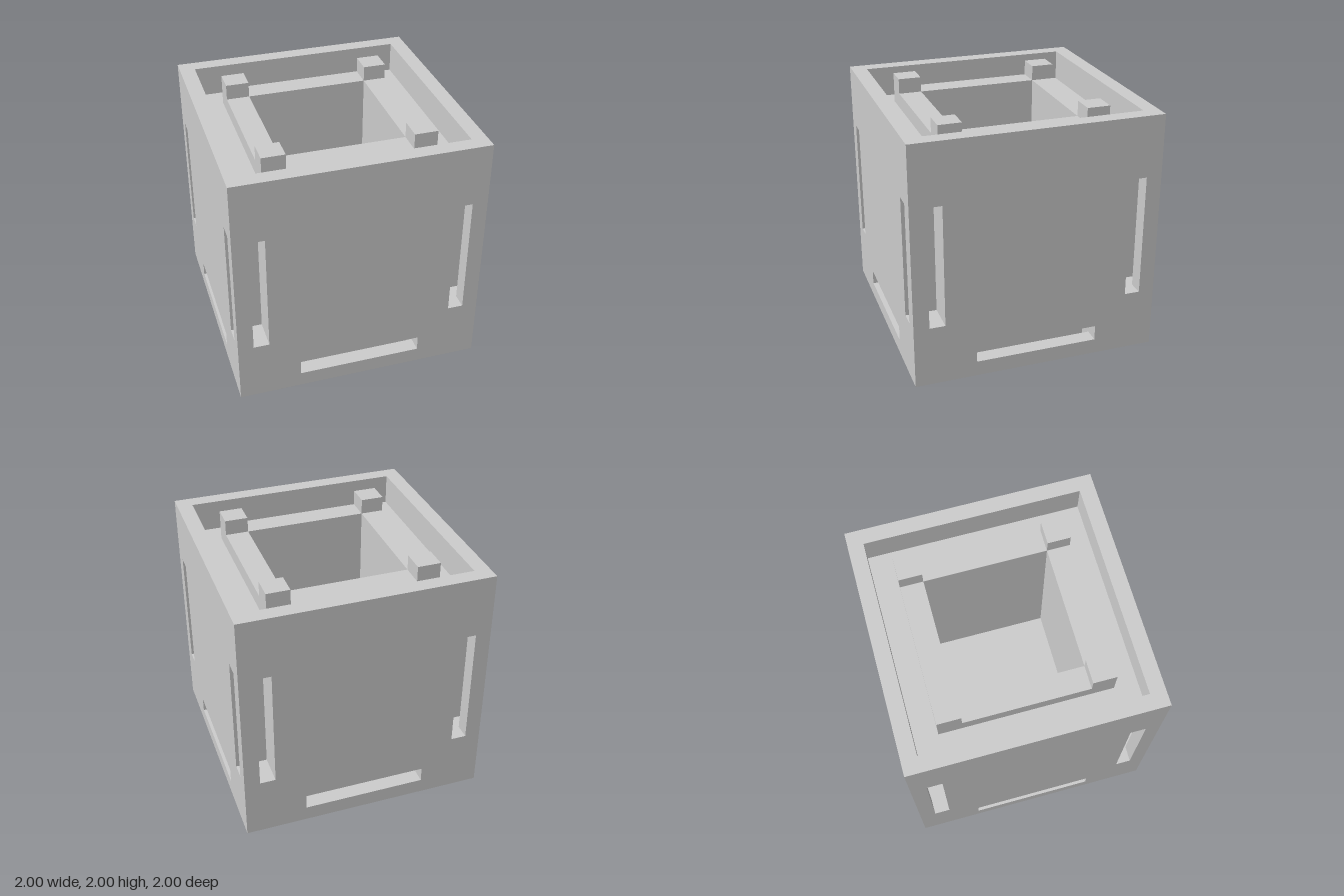
import * as THREE from 'three';

const material = new THREE.MeshStandardMaterial({ color: 0xcccccc, flatShading: true });

// Rectangle outline as points, given its centre and half sizes
function rect(cx, cz, hx, hz) {
  return [[-1, -1], [1, -1], [1, 1], [-1, 1]].map(([a, b]) => new THREE.Vector2(cx + a * hx, cz + b * hz));
}
const square = (h) => rect(0, 0, h, h);

// Repeat one side's corner points round all four sides
function fourSides(points) {
  const out = [];
  for (let i = 0; i < 4; i++) {
    for (const [x, y] of points) {
      out.push(new THREE.Vector2(x, y).rotateAround(new THREE.Vector2(), i * Math.PI / 2));
    }
  }
  return out;
}

// Horizontal slab of a given outline between two heights
function slab(name, y0, y1, outline, holes = []) {
  const shape = new THREE.Shape(outline);
  holes.forEach((h) => shape.holes.push(new THREE.Path(h)));
  const geometry = new THREE.ExtrudeGeometry(shape, { depth: y1 - y0, bevelEnabled: false });
  geometry.rotateX(-Math.PI / 2).translate(0, y0, 0);
  const mesh = new THREE.Mesh(geometry, material);
  mesh.name = name;
  return mesh;
}

export function createModel() {
  const group = new THREE.Group();
  group.name = 'hollowCube';
  const well = square(0.5);

  // Base plate with a slot along each edge
  const slots = [];
  for (const s of [-1, 1]) {
    slots.push(rect(0, s * 0.8125, 0.5, 0.0625), rect(s * 0.8125, 0, 0.0625, 0.5));
  }
  group.add(slab('basePlate', 0, 0.125, square(1), slots));

  // Slots turn outward through the sides just above the base plate
  const notched = fourSides([[-1, -1], [-0.5, -1], [-0.5, -0.75], [0.5, -0.75], [0.5, -1]]);
  group.add(slab('slottedBase', 0.125, 0.25, notched));
  group.add(slab('wellFloor', 0.25, 0.5, square(1)));

  // Walls with cut-back corners; a bar at each corner leaves an L-shaped slot
  const cutCorners = fourSides([[-0.75, -0.75], [-0.75, -1], [0.75, -1]]);
  group.add(slab('walls', 0.5, 1.5, cutCorners, [well]));
  for (const x of [-1, 1]) {
    for (const z of [-1, 1]) {
      group.add(slab('cornerBar', 0.5, 1.5, rect(x * 0.9375, z * 0.9375, 0.0625, 0.0625)));
      group.add(slab('cornerPost', 1.875, 2, rect(x * 0.59375, z * 0.59375, 0.09375, 0.09375)));
    }
  }

  // Upper wall, outer rim and the lower inner collar, with a groove between
  group.add(slab('upperWall', 1.5, 1.75, square(1), [well]));
  group.add(slab('rim', 1.75, 2, square(1), [square(0.875)]));
  group.add(slab('innerCollar', 1.75, 1.875, square(0.6875), [well]));
  return group;
}
